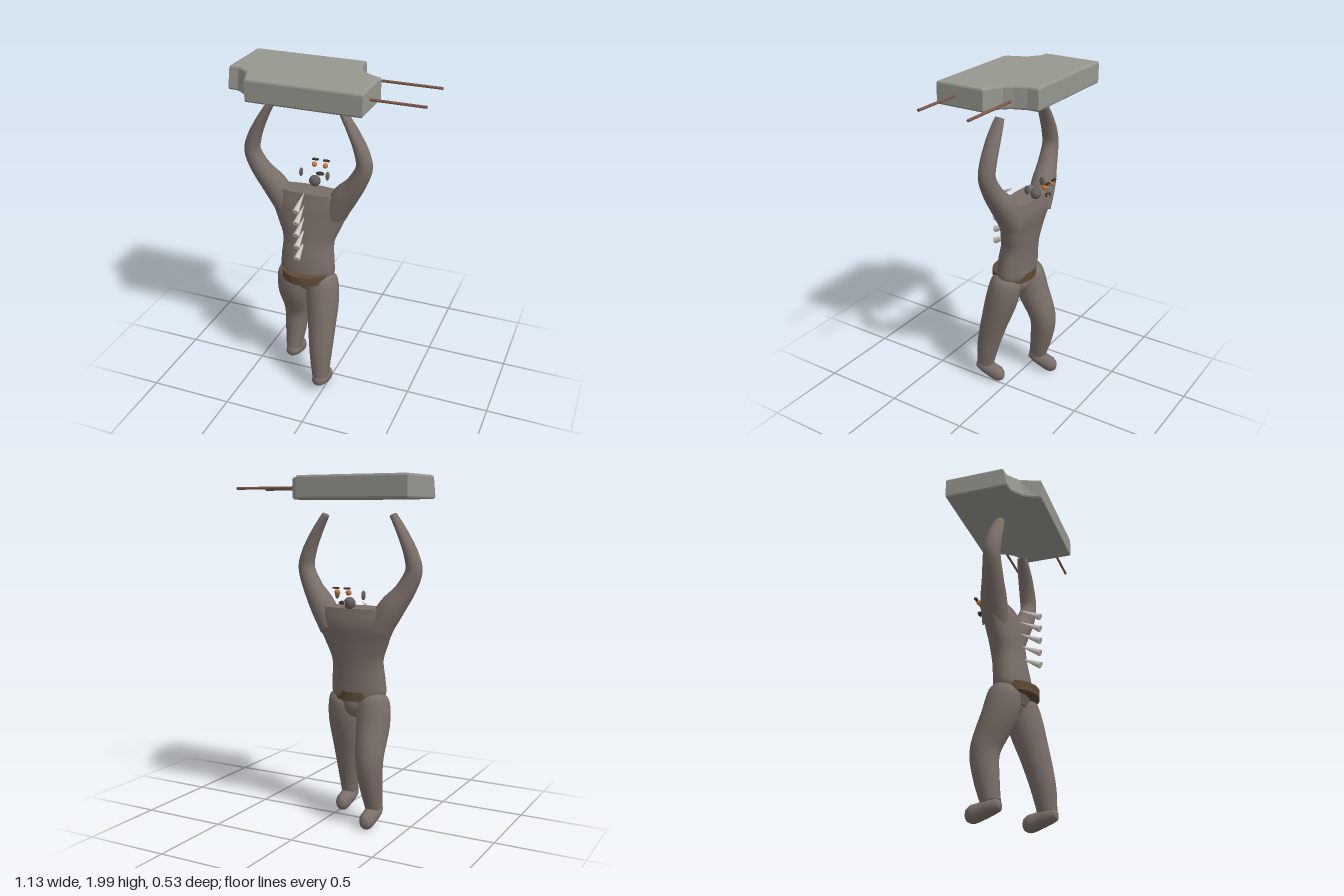
import * as THREE from 'three';

const paint = (name, color) => Object.assign(new THREE.MeshStandardMaterial({ color }), { name });

// Sweep oval rings along points [x, y, z, radiusA, radiusB]; ref sets the direction of radiusB.
function sweep(points, ref, steps = 24, sides = 20) {
  const path = new THREE.CatmullRomCurve3(points.map(p => new THREE.Vector3(p[0], p[1], p[2])));
  const radii = new THREE.CatmullRomCurve3(points.map((p, i) => new THREE.Vector3(p[3], p[4], i)), false, 'catmullrom', 0.4);
  const pos = [], idx = [];
  const ring = (t) => {
    const c = path.getPoint(t), r = radii.getPoint(t), T = path.getTangent(t);
    const B = new THREE.Vector3().crossVectors(ref, T).normalize();
    const N = new THREE.Vector3().crossVectors(T, B);
    for (let j = 0; j < sides; j++) {
      const a = j / sides * Math.PI * 2;
      const v = c.clone().addScaledVector(B, Math.cos(a) * r.x).addScaledVector(N, Math.sin(a) * r.y);
      pos.push(v.x, v.y, v.z);
    }
  };
  for (let i = 0; i <= steps; i++) {
    ring(i / steps);
    if (i === steps) break;
    for (let j = 0; j < sides; j++) {
      const k = (j + 1) % sides, a = i * sides + j, b = i * sides + k;
      idx.push(a, b, a + sides, b, b + sides, a + sides);
    }
  }
  // separate end caps keep the rims sharp
  for (const t of [0, 1]) {
    const s = pos.length / 3;
    ring(t);
    for (let j = 1; j < sides - 1; j++) {
      if (t) idx.push(s, s + j, s + j + 1);
      else idx.push(s, s + j + 1, s + j);
    }
  }
  const g = new THREE.BufferGeometry();
  g.setAttribute('position', new THREE.Float32BufferAttribute(pos, 3));
  g.setIndex(idx);
  g.computeVertexNormals();
  return g;
}

export function createModel() {
  const skin = paint('skin', 0x7a6e68), stone = paint('stone', 0x96978e), bone = paint('bone', 0xcfc9be);
  const rust = paint('rust', 0x80594a), leather = paint('leather', 0x5f4a35), amber = paint('amber', 0xc8763c);
  const dark = paint('dark', 0x3c3735), grey = paint('grey', 0x66605d);
  const model = new THREE.Group();
  const X = new THREE.Vector3(1, 0, 0), Y = new THREE.Vector3(0, 1, 0), Z = new THREE.Vector3(0, 0, 1);
  const cx = -0.155; // body axis
  const add = (name, geo, mat, x = 0, y = 0, z = 0) => {
    const m = new THREE.Mesh(geo, mat);
    m.name = name;
    m.position.set(x, y, z);
    model.add(m);
    return m;
  };
  const blob = (name, mat, x, y, z, rx, ry, rz) =>
    add(name, new THREE.SphereGeometry(1, 16, 12), mat, x, y, z).scale.set(rx, ry, rz);

  // torso, leaning towards -z at the shoulders
  add('torso', sweep([
    [cx, 0.68, 0.015, 0.09, 0.07], [cx, 0.76, 0.015, 0.165, 0.1], [cx, 0.84, 0.01, 0.166, 0.1],
    [cx, 0.96, -0.005, 0.16, 0.092], [cx, 1.08, -0.022, 0.205, 0.09], [cx, 1.18, -0.038, 0.25, 0.09],
    [cx, 1.268, -0.042, 0.24, 0.075],
  ], Z, 30, 28), skin);
  blob('pelvis', skin, cx, 0.7, 0, 0.09, 0.085, 0.075);

  // raised arms
  for (const s of [-1, 1]) {
    const arm = [
      [0.15, 1.14, -0.04, 0.07, 0.075], [0.215, 1.26, -0.03, 0.075, 0.075], [0.295, 1.37, -0.01, 0.057, 0.06],
      [0.342, 1.48, 0, 0.048, 0.05], [0.328, 1.56, 0, 0.041, 0.05], [0.285, 1.66, 0, 0.031, 0.046],
      [0.235, 1.75, 0, 0.023, 0.036], [0.213, 1.785, 0, 0.02, 0.028],
    ];
    add(s < 0 ? 'rightArm' : 'leftArm', sweep(arm.map(([x, ...r]) => [cx + s * x, ...r]), Z, 32), skin);
  }

  // legs: one trailing straight, one bent at the knee
  const legs = { leftLeg: [1, [0.02, 0.03, 0.055, 0.11, 0.145, 0.165]], rightLeg: [-1, [0.01, 0, -0.025, -0.1, -0.088, -0.06]] };
  const levels = [[0.775, 0.085, 0.045, 0.045], [0.72, 0.1, 0.093, 0.092], [0.6, 0.112, 0.098, 0.1],
    [0.4, 0.125, 0.081, 0.083], [0.25, 0.132, 0.067, 0.071], [0.11, 0.137, 0.05, 0.055]];
  for (const [name, [s, zs]] of Object.entries(legs)) {
    add(name, sweep(levels.map(([y, off, a, b], i) => [cx + s * off, y, zs[i], a, b]), Z), skin);
    // foot pointing to -z
    const fx = cx + s * 0.137, fz = zs[5];
    add(name.replace('Leg', 'Foot'), sweep([
      [fx, 0.1, fz + 0.058, 0.012, 0.012], [fx, 0.097, fz + 0.045, 0.037, 0.035], [fx, 0.085, fz, 0.049, 0.044],
      [fx, 0.065, fz - 0.06, 0.046, 0.048], [fx, 0.055, fz - 0.1, 0.042, 0.05],
      [fx, 0.053, fz - 0.13, 0.026, 0.032], [fx, 0.053, fz - 0.139, 0.006, 0.008],
    ], Y), skin);
  }

  // belt
  add('belt', new THREE.CylinderGeometry(1, 1, 0.052, 32), leather, cx, 0.755, 0.035).scale.set(0.15, 1, 0.127);

  // back spikes, narrow end in the back
  for (let i = 0; i < 5; i++) {
    const g = new THREE.ConeGeometry(0.021, 0.145, 6);
    const spike = add('backSpike', g, bone, cx, 1.257 - i * 0.0765, 0.113);
    spike.quaternion.setFromUnitVectors(Y, new THREE.Vector3(0, 0.46, -0.89).normalize());
  }

  // floating face parts, looking to -z
  blob('neckBall', grey, cx, 1.295, -0.108, 0.035, 0.035, 0.03);
  blob('mouth', dark, cx, 1.305, -0.19, 0.026, 0.011, 0.016);
  for (const s of [-1, 1]) {
    blob('ear', grey, cx + s * 0.083, 1.342, -0.1, 0.01, 0.027, 0.018);
    blob('eye', amber, cx + s * 0.035, 1.362, -0.187, 0.016, 0.016, 0.016);
    add('brow', new THREE.BoxGeometry(0.036, 0.009, 0.016), dark, cx + s * 0.035, 1.387, -0.205);
    add('tusk', new THREE.ConeGeometry(0.006, 0.025, 6), bone, cx + s * 0.016, 1.298, -0.198).rotation.x = Math.PI;
  }

  // broken slab overhead, two corners bitten off
  const outline = [[-0.57, -0.265], [0.098, -0.265], [0.1, -0.2], [0.125, -0.13], [0.155, -0.085], [0.21, -0.05],
    [0.262, -0.03], [0.262, 0.265], [-0.395, 0.265], [-0.41, 0.225], [-0.44, 0.17], [-0.51, 0.118], [-0.57, 0.112]];
  const bevel = 0.012;
  const slab = new THREE.ExtrudeGeometry(new THREE.Shape(outline.map(p => new THREE.Vector2(...p))), {
    depth: 0.13 - 2 * bevel, bevelThickness: bevel, bevelSize: bevel, bevelOffset: -bevel, bevelSegments: 2,
  });
  slab.rotateX(Math.PI / 2).translate(0, 2 - bevel, 0);
  // slope the bite so it cuts deeper at the top
  const p = slab.attributes.position;
  for (let i = 0; i < p.count; i++) {
    if (p.getX(i) < -0.39 && p.getZ(i) > 0.07 && p.getZ(i) < 0.215 && p.getY(i) > 1.94) p.setZ(i, p.getZ(i) - 0.025);
  }
  slab.computeVertexNormals();
  add('slab', slab, stone);

  // bars sticking out of the slab
  for (const [z, x0] of [[-0.153, 0.188], [0.15, 0.188]]) {
    const bar = new THREE.CylinderGeometry(0.008, 0.008, 0.565 - x0, 8).rotateZ(Math.PI / 2);
    add('bar', bar, rust, (x0 + 0.565) / 2, 1.935, z);
  }
  return model;
}
